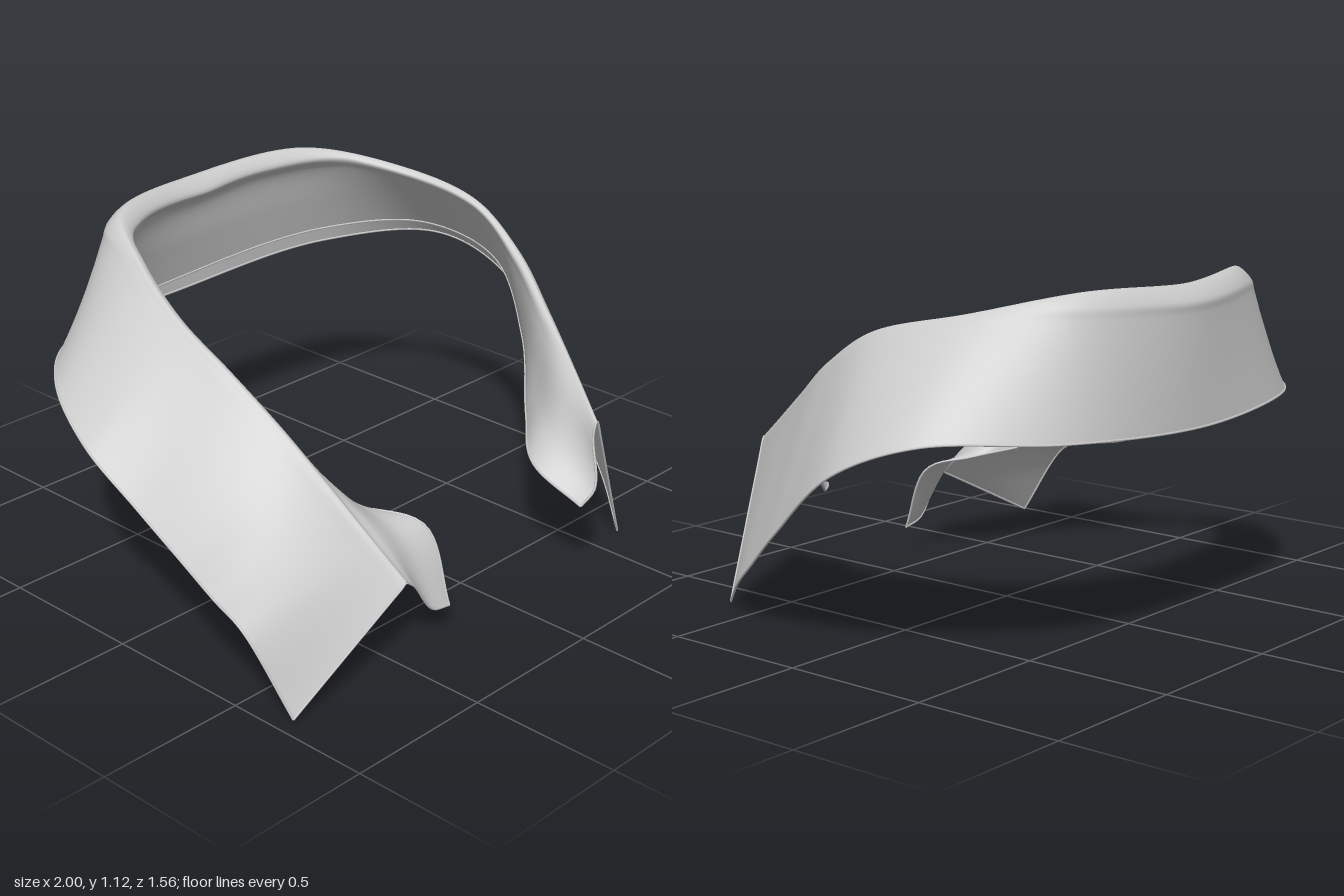
import * as THREE from 'three';

// Stations from the right front, around the back of the neck, to the left front.
// Outer edge of the turned-down fall
const OUTER = [
  [-0.95, 0.01, 0.69], [-1.0, 0.26, 0.54], [-0.98, 0.30, 0.40], [-0.94, 0.34, 0.22],
  [-0.92, 0.43, 0.0], [-0.93, 0.57, -0.22], [-0.83, 0.67, -0.47], [-0.58, 0.685, -0.69],
  [0, 0.67, -0.775], [0.6, 0.70, -0.70], [0.93, 0.71, -0.44], [0.995, 0.61, -0.18],
  [0.89, 0.36, 0.17], [0.80, 0.21, 0.37], [0.72, 0.105, 0.52], [0.63, 0.0, 0.65],
];
// Ridge where the collar folds over
const FOLD = [
  [-0.45, 0.25, 0.67], [-0.49, 0.38, 0.55], [-0.53, 0.53, 0.40], [-0.56, 0.66, 0.25],
  [-0.58, 0.79, 0.05], [-0.575, 0.90, -0.18], [-0.525, 1.01, -0.40], [-0.43, 1.10, -0.59],
  [0, 1.10, -0.70], [0.42, 1.11, -0.62], [0.64, 1.05, -0.38], [0.71, 0.98, -0.08],
  [0.675, 0.86, 0.14], [0.59, 0.73, 0.34], [0.49, 0.61, 0.54], [0.39, 0.51, 0.72],
];
// Lower edge of the inner stand: close under the fall, ending in two small front flaps
const INNER = [
  [-0.24, 0.08, 0.66], [-0.23, 0.31, 0.55], [-0.32, 0.355, 0.42], [-0.52, 0.39, 0.29],
  [-0.68, 0.47, 0.09], [-0.78, 0.60, -0.14], [-0.73, 0.70, -0.43], [-0.54, 0.725, -0.65],
  [0, 0.73, -0.75], [0.57, 0.76, -0.675], [0.83, 0.78, -0.42], [0.88, 0.71, -0.13],
  [0.72, 0.53, 0.14], [0.48, 0.39, 0.36], [0.27, 0.345, 0.57], [0.28, 0.26, 0.755],
];

const ALONG = 180;
const ACROSS = 48; // half for the fall, half for the stand
const { smoothstep } = THREE.MathUtils;

const curve = (pts) => new THREE.CatmullRomCurve3(pts.map((p) => new THREE.Vector3(...p)));

// Cross-section: outer edge, rolled fold, inner edge
function section(o, f, i, t) {
  const out = new THREE.Vector3(o.x - f.x, 0, o.z - f.z).normalize();
  // The fold swells into an overhanging lip behind the neck
  const lip = smoothstep(t, 0.42, 0.48) * (1 - smoothstep(t, 0.58, 0.64));
  const roll = 0.012 + 0.01 * Math.sin(Math.PI * t) + 0.036 * lip;
  const side = (s) => f.clone().addScaledVector(out, s * roll).add(new THREE.Vector3(0, -0.8 * roll, 0));
  const outRoll = side(1);
  const inRoll = side(-1);
  const underLip = inRoll.clone().lerp(i, 0.15).addScaledVector(out, 0.03 * lip);
  // Front flaps are hollow, and the left one bows forward
  const rightEnd = Math.max(0, 1 - t * 5);
  const leftEnd = Math.max(0, t * 5 - 4);
  const middle = underLip.clone().lerp(i, 0.5);
  middle.y -= 0.045 * (rightEnd + leftEnd);
  middle.z += 0.035 * leftEnd;
  const profile = new THREE.CatmullRomCurve3([
    o, o.clone().lerp(outRoll, 0.5), outRoll.clone().lerp(o, 0.1), outRoll, f,
    inRoll, underLip, middle, i,
  ]);
  const points = [];
  for (let j = 0; j <= ACROSS; j++) points.push(profile.getPoint(j / ACROSS));
  return points;
}

export function createModel() {
  const group = new THREE.Group();
  group.name = 'collar';
  const material = new THREE.MeshStandardMaterial({ color: 0xcccccc, side: THREE.DoubleSide });

  const [outer, fold, inner] = [OUTER, FOLD, INNER].map(curve);
  const rows = [];
  for (let a = 0; a <= ALONG; a++) {
    const t = a / ALONG;
    rows.push(section(outer.getPoint(t), fold.getPoint(t), inner.getPoint(t), t));
  }

  // One smooth cloth surface, shared by the fall and the stand
  const cloth = new THREE.BufferGeometry().setFromPoints(rows.flat());
  const strip = (from, to) => {
    const index = [];
    for (let a = 0; a < ALONG; a++) {
      for (let j = from; j < to; j++) {
        const p = a * (ACROSS + 1) + j;
        const q = p + ACROSS + 1;
        index.push(p, p + 1, q, p + 1, q + 1, q);
      }
    }
    return index;
  };
  cloth.setIndex(strip(0, ACROSS));
  cloth.computeVertexNormals();

  const half = ACROSS / 2;
  for (const [name, from, to] of [['fall', 0, half], ['stand', half, ACROSS]]) {
    const geometry = new THREE.BufferGeometry();
    geometry.setAttribute('position', cloth.attributes.position);
    geometry.setAttribute('normal', cloth.attributes.normal);
    geometry.setIndex(strip(from, to));
    const mesh = new THREE.Mesh(geometry, material);
    mesh.name = name;
    group.add(mesh);
  }

  // Thin rounded hems along the free edges
  const hems = {
    outerHem: rows.map((r) => r[0]),
    innerHem: rows.map((r) => r[ACROSS]),
    rightFrontHem: rows[0],
    leftFrontHem: rows[ALONG],
  };
  for (const [name, points] of Object.entries(hems)) {
    const path = new THREE.CatmullRomCurve3(points);
    const mesh = new THREE.Mesh(new THREE.TubeGeometry(path, points.length, 0.004, 6), material);
    mesh.name = name;
    group.add(mesh);
  }
  return group;
}
